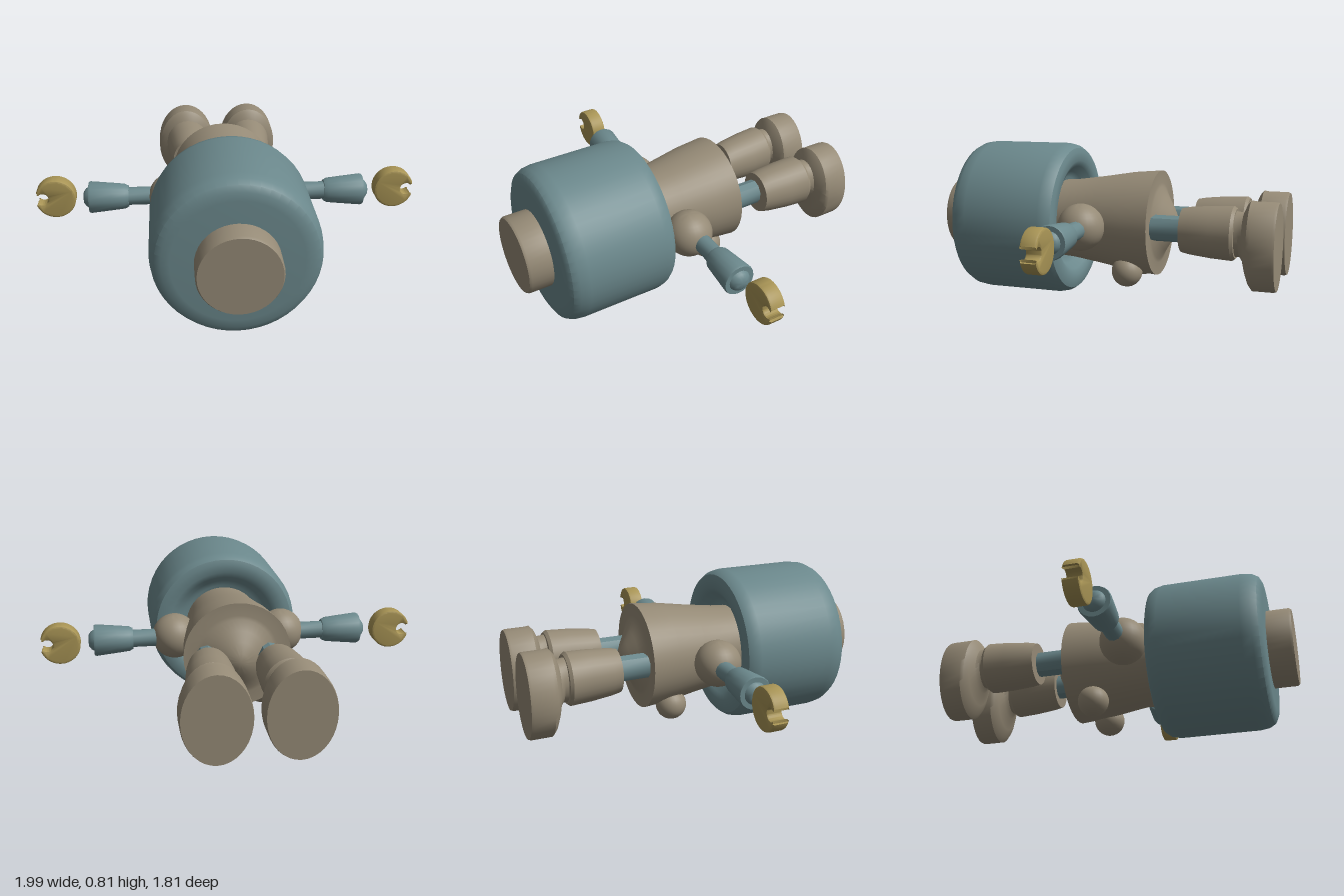
import * as THREE from 'three';
import { toCreasedNormals } from 'three/addons/utils/BufferGeometryUtils.js';

const CY = 0.405; // height of the body axis

const mat = (name, color) => {
  const m = new THREE.MeshStandardMaterial({ color });
  m.name = name;
  return m;
};

// Turned solid; profile is [radius, distance along axis], listed from low to high
function turned(profile, segments) {
  return new THREE.LatheGeometry(profile.map(([r, d]) => new THREE.Vector2(r, d)), segments);
}
const alongZ = (profile, segments = 40) => turned(profile, segments).rotateX(Math.PI / 2);
const alongX = (profile, segments = 24) => turned(profile, segments).rotateZ(-Math.PI / 2);

// Shift cross-sections sideways by a function of z
function lean(geometry, shift) {
  const p = geometry.attributes.position;
  for (let i = 0; i < p.count; i++) {
    const [dx, dy] = shift(p.getZ(i));
    p.setXY(i, p.getX(i) + dx, p.getY(i) + dy);
  }
  return geometry;
}

function add(parent, name, geometry, material, x = 0, y = 0, z = 0) {
  const mesh = new THREE.Mesh(toCreasedNormals(geometry, 0.6), material);
  mesh.name = name;
  mesh.position.set(x, y, z);
  parent.add(mesh);
  return mesh;
}

// Round gripping hand with a notch facing outwards (+x)
function handGeometry() {
  const bevel = 0.01, depth = 0.08;
  const shape = new THREE.Shape();
  shape.absarc(0, 0, 0.095, 0.33, Math.PI * 2 - 0.33, false);
  shape.absarc(0.066, 0, 0.04, -0.7, 0.7, true);
  shape.closePath();
  return new THREE.ExtrudeGeometry(shape, {
    depth: depth - 2 * bevel, bevelEnabled: true, bevelSize: bevel,
    bevelThickness: bevel, bevelSegments: 2, curveSegments: 24,
  }).translate(0, 0, bevel - depth / 2);
}

export function createModel() {
  const model = new THREE.Group();
  model.name = 'figure';
  const teal = mat('teal', 0x6b888c);
  const tan = mat('tan', 0x958a76);
  const gold = mat('gold', 0xa89455);

  // Head: rounded drum with a recess around the neck
  add(model, 'head', alongZ([
    [0, 0.27], [0.22, 0.27], [0.25, 0.255], [0.28, 0.215], [0.31, 0.2], [0.355, 0.2],
    [0.38, 0.208], [0.396, 0.23], [0.405, 0.27], [0.405, 0.68], [0.398, 0.73],
    [0.38, 0.762], [0.35, 0.777], [0.31, 0.78], [0, 0.78],
  ], 48), teal, 0, CY);
  add(model, 'headStud', alongZ([
    [0, 0.75], [0.2, 0.75], [0.2, 0.893], [0.193, 0.905], [0, 0.905],
  ]), tan, 0, CY);

  // Torso: widening cone with a domed end
  add(model, 'torso', alongZ([
    [0, -0.36], [0.04, -0.352], [0.09, -0.326], [0.14, -0.295], [0.19, -0.266], [0.21, -0.262],
    [0.275, -0.262], [0.262, -0.12], [0.235, 0.04], [0.212, 0.2], [0.205, 0.3], [0, 0.3],
  ]), tan, 0, CY);

  for (const s of [1, -1]) {
    const side = s > 0 ? 'left' : 'right';

    // Arm, built towards +x and turned round for the other side
    const arm = new THREE.Group();
    arm.name = side + 'Arm';
    arm.position.set(0, CY + 0.005, 0.06);
    arm.rotation.y = s > 0 ? 0 : Math.PI;
    model.add(arm);
    add(arm, 'upperArm', alongX([[0, 0.3], [0.047, 0.3], [0.047, 0.54], [0, 0.54]], 12), teal);
    add(arm, 'cuff', alongX([
      [0, 0.515], [0.056, 0.515], [0.066, 0.535], [0.073, 0.6], [0.084, 0.71], [0.08, 0.72],
      [0.056, 0.72], [0.048, 0.735], [0.03, 0.748], [0, 0.75],
    ], 20), teal);
    add(arm, 'hand', handGeometry(), gold, 0.895, 0, -0.02 * s);
    add(model, side + 'Shoulder', new THREE.SphereGeometry(0.12, 28, 18), tan, s * 0.29, CY + 0.005, 0.075);

    // Small ball under the torso
    add(model, side + 'BellyBall', new THREE.SphereGeometry(0.08, 24, 16), tan, s * 0.145, 0.165, -0.125);

    // Leg: hip rod, trouser cuff and oval foot
    const leg = new THREE.Group();
    leg.name = side + 'Leg';
    model.add(leg);
    add(leg, 'hipRod', alongZ([
      [0, -0.46], [0.06, -0.46], [0.06, -0.2], [0, -0.2],
    ], 10).scale(1, 1.12, 1), teal, s * 0.155, CY);
    const cuff = alongZ([
      [0, -0.7], [0.115, -0.7], [0.126, -0.685], [0.122, -0.58], [0.112, -0.47], [0.104, -0.425], [0, -0.425],
    ], 28).scale(1, 1.07, 1);
    add(leg, 'legCuff', lean(cuff, z => [-s * (z + 0.6) * 0.05, 0]), tan, s * 0.177, CY);
    const foot = alongZ([
      [0, -0.905], [0.98, -0.905], [1, -0.893], [1, -0.79], [0.95, -0.772], [0.8, -0.755],
      [0.56, -0.738], [0.5, -0.72], [0.52, -0.69], [0, -0.69],
    ], 36).scale(0.165, 0.22, 1);
    add(leg, 'foot', lean(foot, z => [0, THREE.MathUtils.clamp((z + 0.79) / 0.07, 0, 1) * 0.055]),
      tan, s * 0.19, 0.35);
  }
  return model;
}
